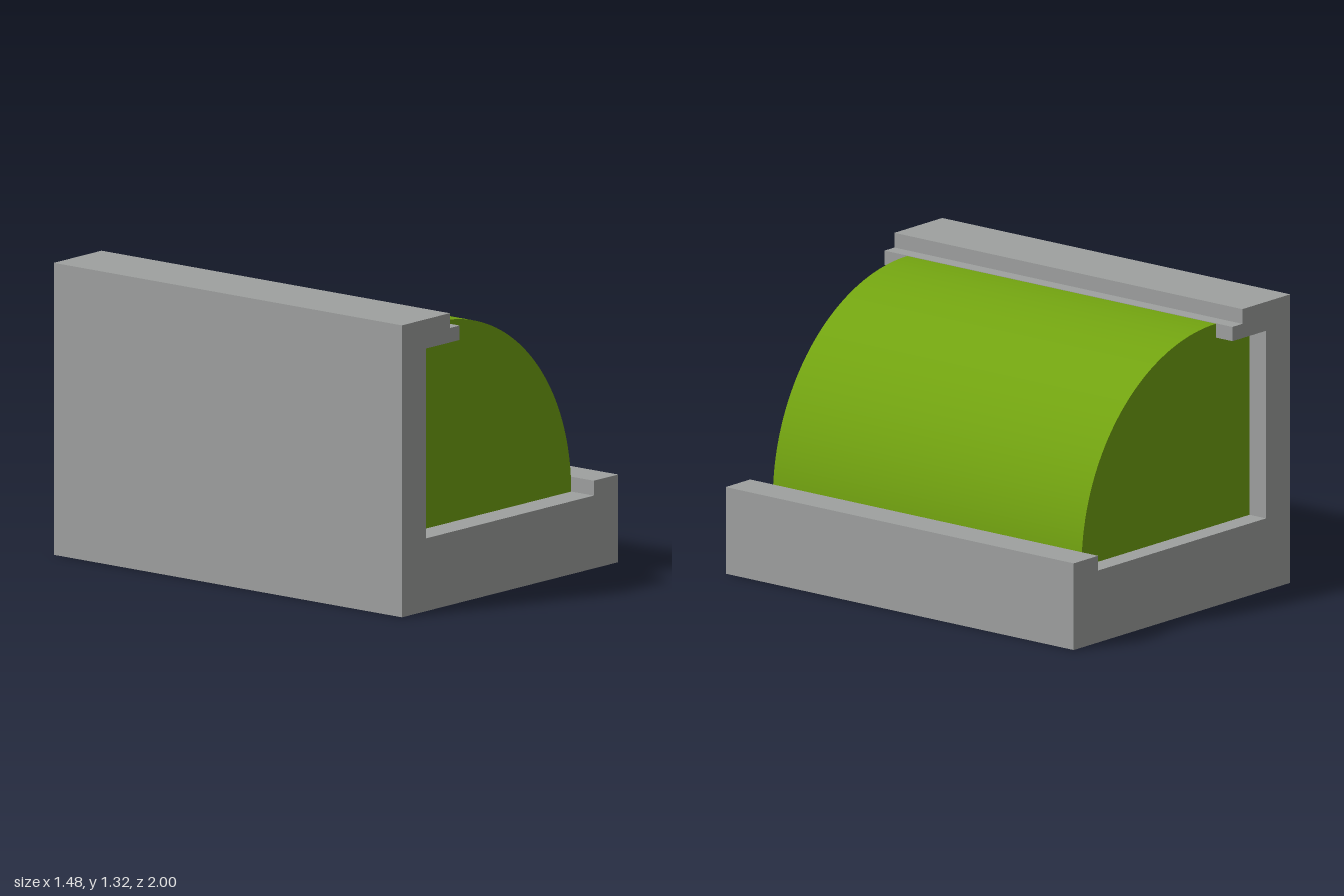
import * as THREE from 'three';

const grey = new THREE.MeshStandardMaterial({ color: 0x9fa1a0 });
grey.name = 'grey';
const green = new THREE.MeshStandardMaterial({ color: 0x72a310 });
green.name = 'green';

// Extrude a profile in the xy plane between two depths
function extrudeBetween(name, shape, z0, z1, material, curveSegments = 1) {
  const geometry = new THREE.ExtrudeGeometry(shape, {
    depth: z1 - z0, bevelEnabled: false, curveSegments,
  });
  geometry.translate(0, 0, z0);
  const mesh = new THREE.Mesh(geometry, material);
  mesh.name = name;
  return mesh;
}

export function createModel() {
  const group = new THREE.Group();
  group.name = 'quarterRoundInFrame';

  // Frame: base with a raised lip, tall wall and stepped overhang
  const frame = new THREE.Shape([
    [-0.74, 0], [0.74, 0], [0.74, 0.395], [0.573, 0.395], [0.573, 0.328],
    [-0.575, 0.328], [-0.575, 1.183], [-0.345, 1.183], [-0.345, 1.248],
    [-0.413, 1.248], [-0.413, 1.315], [-0.74, 1.315],
  ].map(([x, y]) => new THREE.Vector2(x, y)));
  group.add(extrudeBetween('frame', frame, -1, 1, grey));

  // Quarter-round block that fills the frame and tucks under the overhang
  const radius = 0.918;
  const block = new THREE.Shape();
  block.moveTo(-0.575, 0.328);
  block.lineTo(0.573, 0.328);
  block.absarc(-0.345, 0.328, radius, 0, Math.PI / 2, false);
  block.lineTo(-0.345, 1.183);
  block.lineTo(-0.575, 1.183);
  block.closePath();
  const mesh = extrudeBetween('quarterRoundBlock', block, -0.905, 0.87, green, 24);

  // Smooth normals on the curved face only
  const { position, normal } = mesh.geometry.attributes;
  for (let i = 0; i < position.count; i++) {
    const nx = normal.getX(i), ny = normal.getY(i);
    if (nx > 0.01 && ny > 0.01) {
      const n = new THREE.Vector2(position.getX(i) + 0.345, position.getY(i) - 0.328).normalize();
      normal.setXYZ(i, n.x, n.y, 0);
    }
  }
  group.add(mesh);

  return group;
}
